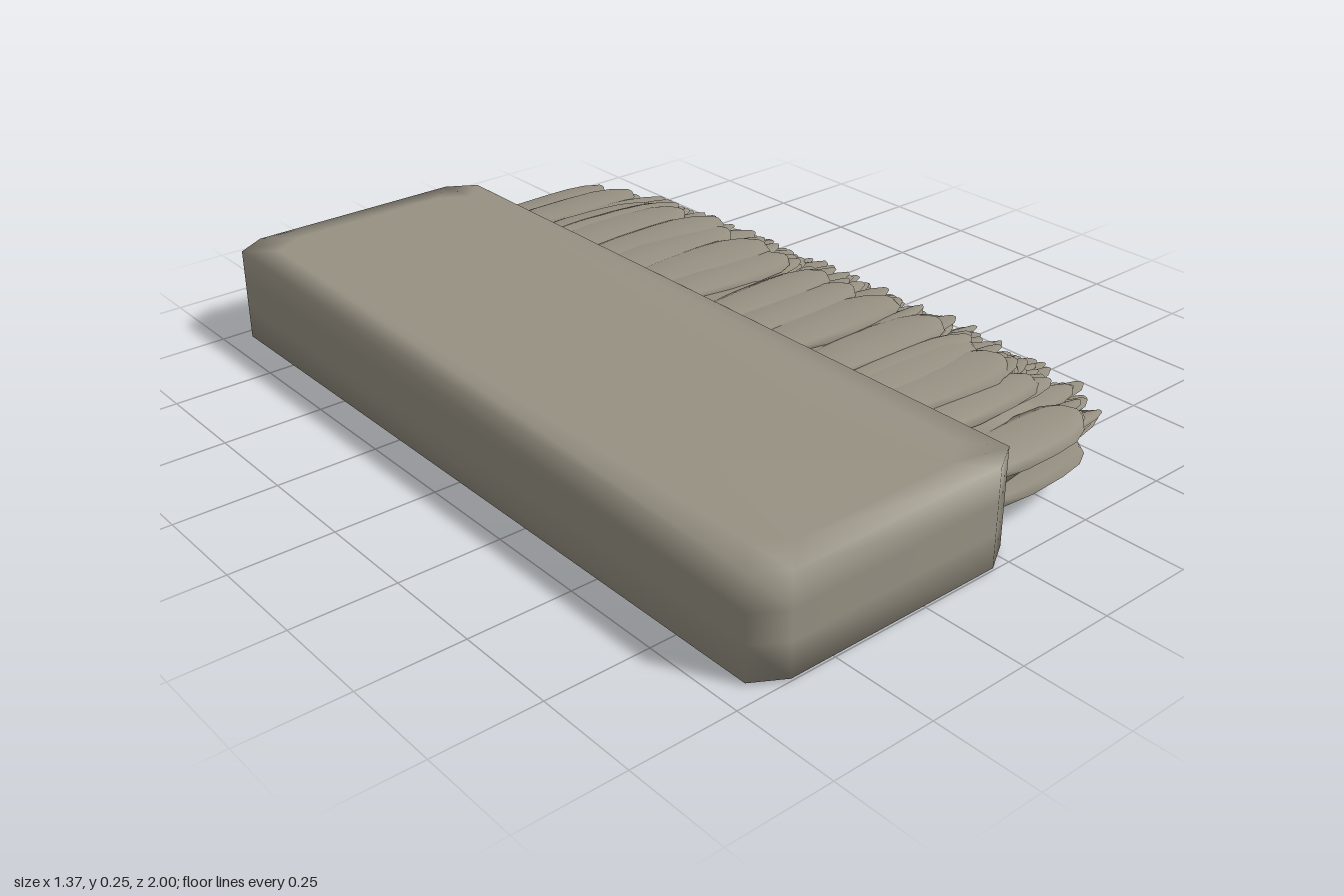
import * as THREE from 'three';
import { mergeGeometries } from 'three/addons/utils/BufferGeometryUtils.js';

let seed = 7;
const rnd = () => (seed = (seed * 16807) % 2147483647) / 2147483647;
const jitter = (a) => (rnd() * 2 - 1) * a;

// Skin a list of equal-length point rings, closing both ends with a centre point
function loft(rings) {
  const n = rings[0].length, pos = [], idx = [];
  rings.forEach((r) => r.forEach((p) => pos.push(...p)));
  for (let i = 0; i < rings.length - 1; i++) {
    for (let j = 0; j < n; j++) {
      const a = i * n + j, b = i * n + (j + 1) % n;
      idx.push(a, b, a + n, b, b + n, a + n);
    }
  }
  [0, rings.length - 1].forEach((k) => {
    const c = pos.length / 3;
    pos.push(...[0, 1, 2].map((d) => rings[k].reduce((s, p) => s + p[d], 0) / n));
    for (let j = 0; j < n; j++) {
      const a = k * n + j, b = k * n + (j + 1) % n;
      if (k) idx.push(a, b, c); else idx.push(b, a, c);
    }
  });
  const g = new THREE.BufferGeometry();
  g.setAttribute('position', new THREE.Float32BufferAttribute(pos, 3));
  g.setIndex(idx);
  g.computeVertexNormals();
  return g;
}

// Handle: eight-sided block with clipped corners and softly domed faces
function handleGeometry() {
  const ring = (y, inset) => {
    const x0 = -0.69 + inset, x1 = 0.025 - inset, z1 = 1 - inset;
    return [
      [x0, y, z1 - 0.045], [x0 + 0.075, y, z1], [x1 - 0.075, y, z1], [x1, y, z1 - 0.045],
      [x1, y, -z1 + 0.045], [x1 - 0.075, y, -z1], [x0 + 0.075, y, -z1], [x0, y, -z1 + 0.045],
    ];
  };
  return loft([ring(0, 0.07), ring(0.006, 0), ring(0.09, 0), ring(0.16, 0), ring(0.245, 0), ring(0.25, 0.07)]);
}

const Y0 = 0.125;
const spow = (v, e) => Math.sign(v) * Math.abs(v) ** e;

// Core of the bristles: flattened oval, narrowing outwards
function coreGeometry() {
  const section = ([x, y, hy, hz]) => Array.from({ length: 40 }, (_, i) => {
    const a = (i / 40) * Math.PI * 2;
    return [x, y + hy * spow(Math.sin(a), 0.85), -hz * spow(Math.cos(a), 0.85)];
  }).reverse();
  return loft([[0, Y0, 0.108, 0.92], [0.2, Y0, 0.104, 0.89], [0.32, Y0 - 0.005, 0.09, 0.85],
    [0.42, 0.1, 0.055, 0.78]].map(section));
}

// One flat tuft with a rounded, slightly ragged tip
function tuft(y, z, reach, halfWidth, halfThick, tilt = 0) {
  const drift = jitter(0.02), skew = jitter(0.035), bend = jitter(0.006);
  const stations = [[0, 0.85], [0.3, 1], [0.6, 1], [0.8, 0.92], [0.93, 0.65], [1, 0.22]];
  return loft(stations.map(([t, w]) => Array.from({ length: 8 }, (_, i) => {
    const a = -(i / 8) * Math.PI * 2;
    const dz = -Math.cos(a) * halfWidth * w, dy = Math.sin(a) * halfThick * (0.4 + 0.6 * w);
    return [
      0.01 + (reach - 0.01) * t + skew * t * dz / halfWidth,
      Math.min(0.247, Math.max(0.004, y + dy + dz * tilt + bend * t * t)),
      z + dz + drift * t * t,
    ];
  })));
}

// How far the tufts reach at each height, less towards both ends
const reachTable = [[0, 0.38], [0.03, 0.55], [0.055, 0.66], [0.1, 0.58], [0.13, 0.52], [0.17, 0.45], [0.21, 0.42], [0.25, 0.37]];
function reachAt(y, z) {
  let k = 1;
  while (k < reachTable.length - 1 && reachTable[k][0] < y) k++;
  const [ya, ra] = reachTable[k - 1], [yb, rb] = reachTable[k];
  const r = THREE.MathUtils.mapLinear(y, ya, yb, ra, rb);
  const e = Math.abs(z) / 0.9;
  const cut = e > 0.97 ? 0.4 : 1;
  return Math.min(r * (1 - 0.2 * e ** 4), cut);
}

function bristleGeometry() {
  const parts = [];
  // Broad tufts covering the top and the underside
  for (const side of [1, -1]) {
    for (let z = -0.86; z < 0.88; z += 0.115) {
      const zz = z + jitter(0.025);
      const e = Math.min(1, Math.abs(zz) / 0.93);
      const y = Y0 + side * 0.104 * (1 - e ** 2.4) ** 0.5;
      const tilt = -side * Math.sign(zz) * 0.15 * e ** 3;
      parts.push(tuft(y, zz, 0.38 + jitter(0.03), 0.075 + jitter(0.015), 0.013, tilt));
    }
  }
  // Stacked rows of narrower tufts filling the inside
  for (let i = 0; i < 13; i++) {
    const y = 0.028 + i * 0.0155;
    const half = 0.89 * (1 - Math.min(1, Math.abs(y - Y0) / 0.114) ** 2) ** 0.5;
    for (let z = -half; z <= half; z += 0.075) {
      const yy = y + jitter(0.007), zz = z + jitter(0.03);
      parts.push(tuft(yy, zz, reachAt(yy, zz) + jitter(0.035), 0.042 + jitter(0.014), 0.007, jitter(0.12)));
    }
  }
  return mergeGeometries(parts);
}

export function createModel() {
  seed = 7;
  const group = new THREE.Group();
  const material = new THREE.MeshStandardMaterial({ color: 0x979183 });
  material.name = 'warm grey';
  material.side = THREE.DoubleSide;
  const add = (name, geometry) => {
    const mesh = new THREE.Mesh(geometry, material);
    mesh.name = name;
    group.add(mesh);
  };
  add('handle', handleGeometry());
  add('bristleCore', coreGeometry());
  add('bristles', bristleGeometry());
  return group;
}
